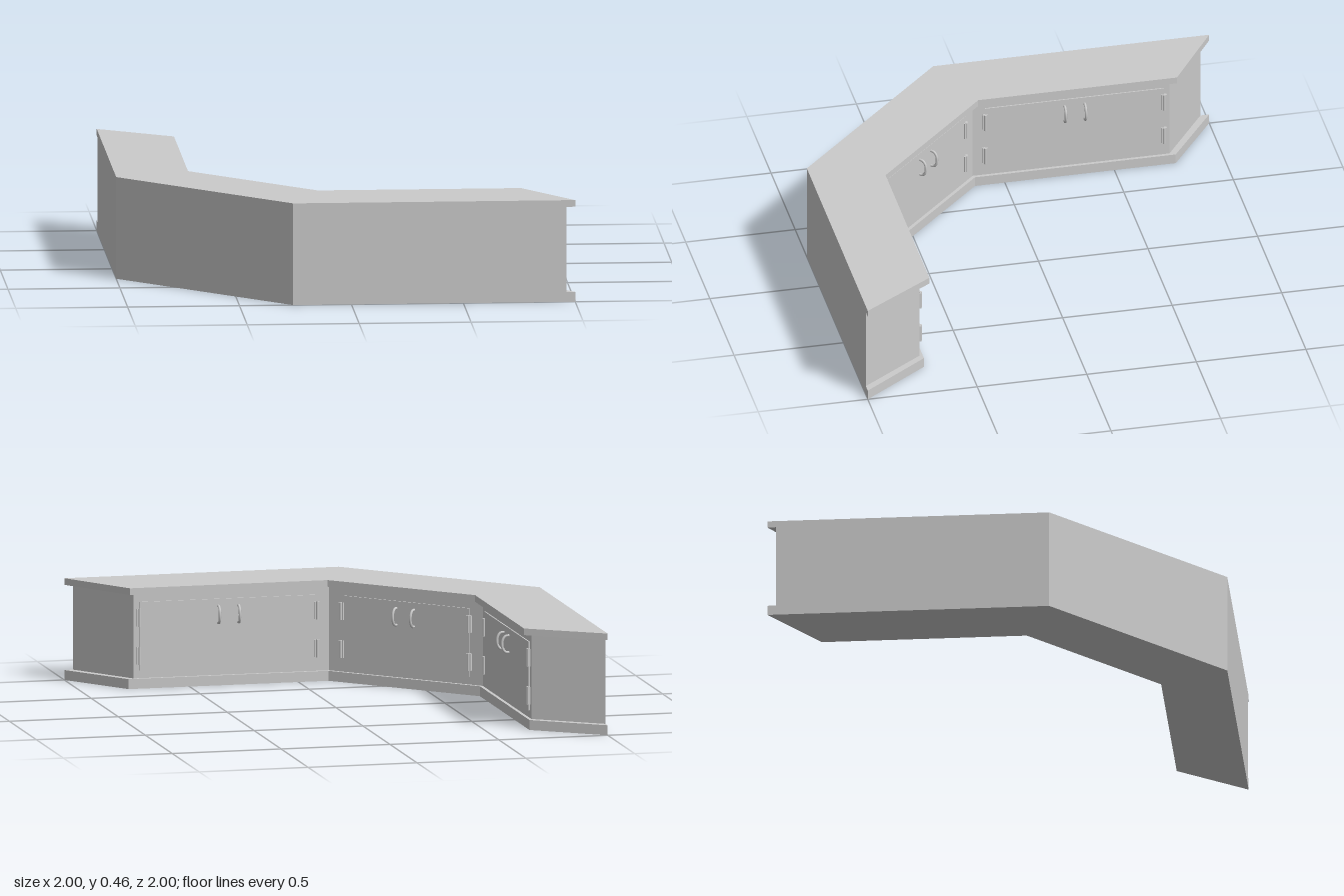
import * as THREE from 'three';

const grey = new THREE.MeshStandardMaterial({ color: 0xcccccc });

function add(parent, name, geometry, x = 0, y = 0, z = 0) {
  const mesh = new THREE.Mesh(geometry, grey);
  mesh.name = name;
  mesh.position.set(x, y, z);
  parent.add(mesh);
  return mesh;
}

// Horizontal slab of the angled counter. One half of the plan is given as
// [x, z] points; the other half is its reflection across the diagonal.
function slab(half, y0, y1) {
  const mirrored = half.map(([x, z]) => [-z, -x]).reverse();
  const outline = [...half, ...mirrored].map(([x, z]) => new THREE.Vector2(x, -z));
  const geometry = new THREE.ExtrudeGeometry(new THREE.Shape(outline), { depth: y1 - y0, bevelEnabled: false });
  return geometry.rotateX(-Math.PI / 2).translate(0, y0, 0);
}

// Cupboard front facing local +z: panel, four hinges and two bow handles
function cupboardFront(halfWidth) {
  const group = new THREE.Group();
  group.name = 'cupboardFront';
  add(group, 'doorPanel', new THREE.BoxGeometry(halfWidth * 2, 0.31, 0.012), 0, 0.235, 0);

  const bow = new THREE.CatmullRomCurve3([
    [-0.038, 0], [-0.036, 0.018], [-0.022, 0.03], [0, 0.034],
    [0.022, 0.03], [0.036, 0.018], [0.038, 0],
  ].map(([y, z]) => new THREE.Vector3(0, y, z)));

  for (const side of [-1, 1]) {
    for (const y of [0.148, 0.32]) {
      add(group, 'hingeLeaf', new THREE.BoxGeometry(0.025, 0.078, 0.016), side * halfWidth, y, 0.004);
      add(group, 'hingeBarrel', new THREE.CylinderGeometry(0.006, 0.006, 0.08, 10), side * halfWidth, y, 0.012);
    }
    add(group, 'handle', new THREE.TubeGeometry(bow, 24, 0.006, 8), side * 0.046, 0.32, 0.004);
  }
  return group;
}

export function createModel() {
  const model = new THREE.Group();
  model.name = 'angledCounter';

  // Base, inset cabinet body and overhanging worktop
  add(model, 'base', slab([[-1, 0.26], [-1, -1], [-0.695, -0.78], [-0.695, 0.137]], 0, 0.045));
  add(model, 'body', slab([[-1, 0.26], [-1, -0.96], [-0.71, -0.755], [-0.71, 0.144]], 0.045, 0.43));
  add(model, 'worktop', slab([[-1, 0.26], [-1, -1], [-0.67, -0.78], [-0.67, 0.127]], 0.43, 0.46));

  // Cupboards along the inner faces: x, z, turn, half width
  for (const [x, z, turn, halfWidth] of [
    [-0.71, -0.32, Math.PI / 2, 0.408],
    [-0.427, 0.427, Math.PI * 0.75, 0.332],
    [0.32, 0.71, Math.PI, 0.408],
  ]) {
    const front = cupboardFront(halfWidth);
    front.position.set(x, 0, z);
    front.rotation.y = turn;
    model.add(front);
  }
  return model;
}
